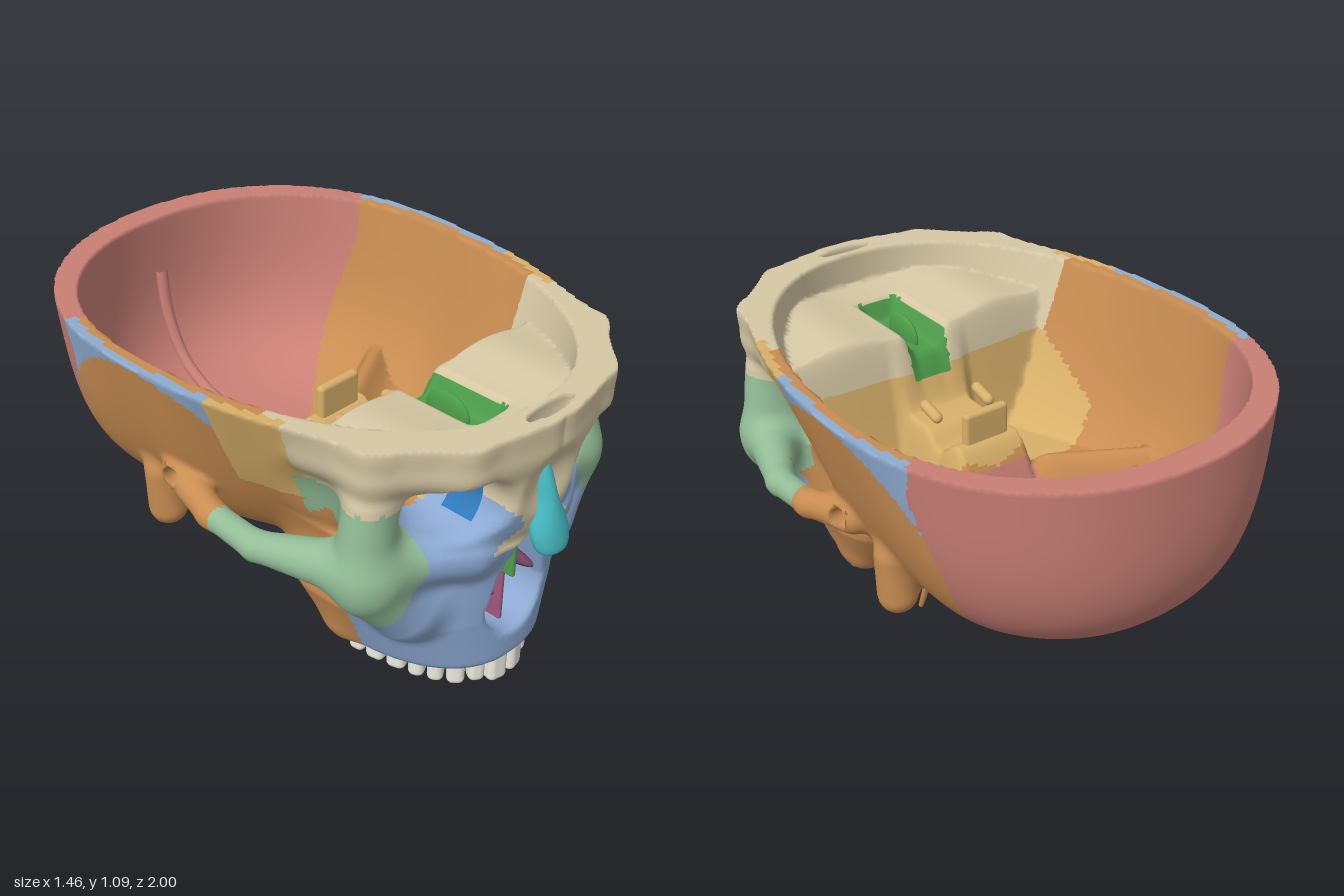
import * as THREE from 'three';
import { RoundedBoxGeometry } from 'three/addons/geometries/RoundedBoxGeometry.js';

const COLORS = {
  frontalBone: 0xd6c8a4, parietalBone: 0x8eacd0, temporalBone: 0xc98d52, sphenoidBone: 0xd8b06a,
  occipitalBone: 0xc97f75, zygomaticBone: 0x93bd97, maxilla: 0x8ca9d2, palatineBone: 0x4470ac,
  ethmoidBone: 0x4c9c4a, lacrimalBone: 0x2f78b8, nasalBone: 0x45b8c0, vomer: 0xa0587f,
  nasalConcha: 0x70405f, teeth: 0xeeeae0,
};
const RIM = 1.09;
const { clamp, lerp, smoothstep } = THREE.MathUtils;
const step = (a, b, v) => smoothstep(v, a, b);
const bell = (v, w) => Math.exp(-(v / w) * (v / w));
const smin = (a, b, k) => {
  const h = Math.max(k - Math.abs(a - b), 0) / k;
  return Math.min(a, b) - h * h * k * 0.25;
};
const smax = (a, b, k) => -smin(-a, -b, k);
const ellipsoid = (x, y, z, rx, ry, rz) =>
  (Math.sqrt((x / rx) ** 2 + (y / ry) ** 2 + (z / rz) ** 2) - 1) * Math.min(rx, ry, rz);

// Tapered rod from a to b; returns a distance function
function rod(ax, ay, az, ra, bx, by, bz, rb) {
  const dx = bx - ax, dy = by - ay, dz = bz - az, l2 = dx * dx + dy * dy + dz * dz;
  return (x, y, z) => {
    const px = x - ax, py = y - ay, pz = z - az;
    const h = clamp((px * dx + py * dy + pz * dz) / l2, 0, 1);
    return Math.sqrt((px - h * dx) ** 2 + (py - h * dy) ** 2 + (pz - h * dz) ** 2) - lerp(ra, rb, h);
  };
}

// Rods blended onto the skull: [distance function, blend width]
const ADDED = [
  [rod(0.49, 0.86, 0.65, 0.075, 0.495, 0.64, 0.64, 0.1), 0.08],  // cheek, beside the eye
  [rod(0.48, 0.56, 0.64, 0.11, 0.36, 0.4, 0.68, 0.09), 0.1],     // cheek body
  [rod(0.44, 0.62, 0.67, 0.06, 0.2, 0.6, 0.8, 0.05), 0.08],      // lower rim of the eye socket
  [rod(0.54, 0.61, 0.56, 0.08, 0.645, 0.61, 0.32, 0.048), 0.04], // cheek arch
  [rod(0.645, 0.61, 0.32, 0.048, 0.65, 0.63, 0.12, 0.045), 0.02],
  [rod(0.65, 0.63, 0.12, 0.045, 0.6, 0.67, -0.08, 0.065), 0.03],
  [rod(0.56, 0.58, -0.235, 0.06, 0.545, 0.43, -0.235, 0.068), 0.05], // mastoid
  [rod(0.29, 0.45, 0.4, 0.08, 0.31, 0.17, 0.39, 0.06), 0.06],    // pterygoid
];
// Brow band following the forehead, from the middle to the temple
const BROW = [[0.04, 0.885], [0.29, 0.835], [0.49, 0.66], [0.52, 0.46]];
for (const y of [0.985, 1.08]) for (let i = 0; i < 3; i++) {
  const [[x0, z0], [x1, z1]] = [BROW[i], BROW[i + 1]];
  ADDED.push([rod(x0, y, z0, 0.06, x1, y, z1, 0.06), 0.06]);
}
const orbitFront = rod(0.285, 0, 1.05, 0.133, 0.285, 0, 0.72, 0.133);
const orbitBack = rod(0.285, 0, 0.72, 0.133, 0.19, -0.07, 0.44, 0.035);
const earCanal = rod(0.625, 0.67, -0.07, 0.036, 0.8, 0.67, -0.07, 0.036);

// Egg-shaped braincase that narrows downwards, more so towards the face
function braincase(ax, y, z, rx, rBack, rFront, ry) {
  const taper = 1 - (0.18 + 0.17 * step(-0.65, -0.2, z) + 0.25 * step(-0.1, 0.3, z)) * (RIM - y);
  const a = ax / (rx * taper), b = z > -0.2 ? (z + 0.2) / rFront : (-0.2 - z) / rBack;
  const c = Math.max(0, (1.05 - y) / ry);
  return (Math.pow(Math.pow(a ** 2.2 + b ** 2.2, 3.5 / 2.2) + c ** 3.5, 1 / 3.5) - 1) * 0.65;
}

// Height of the inner floor: three fossae, petrous ridge, sella
function floorHeight(ax, z) {
  const dp = (ax - 0.12) * 0.49 + (z + 0.08) * 0.871;
  let f = lerp(0.4, 0.52, step(-0.06, 0.06, dp)) + 0.13 * bell(dp, 0.08) * step(0.08, 0.2, ax);
  const body = lerp(0.4, 0.7, step(-0.18, 0.02, z)) - 0.06 * bell(z - 0.12, 0.05);
  f = Math.max(f, lerp(0.4, body, 1 - step(0.12, 0.2, ax)));
  const slot = (1 - step(0.04, 0.1, ax)) * step(0.27, 0.31, z) * (1 - step(0.66, 0.71, z));
  const front = 0.965 + 0.03 * bell(ax - 0.3, 0.15) - 0.08 * slot;
  return lerp(f, front, step(0.28, 0.39, z - 0.04 * ax));
}
const cavity = (ax, y, z) =>
  Math.max(braincase(ax, y, z, 0.67, 0.705, 1.06, 0.64), floorHeight(ax, z) - y);

function maxillaBlock(ax, y, z) {
  const rx = Math.min(0.43, 0.34 + 0.42 * (y - 0.1));
  const rz = z > 0.35 ? 0.51 : clamp(0.06 + 0.95 * (y - 0.1), 0.06, 0.3);
  const d = (((ax / rx) ** 2.3 + (Math.abs(z - 0.35) / rz) ** 2.3) ** (1 / 2.3) - 1) * 0.35;
  return Math.max(smax(d, 0.1 - y, 0.04), y - 0.6);
}

// Signed field of the whole bone, negative inside
function skull(x, y, z) {
  const ax = Math.abs(x);
  let d = braincase(ax, y, z, 0.735, 0.8, 1.15, 0.72);
  d = smin(d, maxillaBlock(ax, y, z), 0.06);
  d = smax(d, -ellipsoid(ax - 0.6, y - 0.68, z - 0.47, 0.12, 0.22, 0.15), 0.05); // temporal hollow
  for (const [shape, k] of ADDED) d = smin(d, shape(ax, y, z), k);
  d = smax(d, -ellipsoid(ax, y - 0.84, z - 1.06, 0.15, 0.13, 0.15), 0.04);      // nasal root dent
  const oy = (y - 0.815) / 0.92;
  d = smax(d, -Math.min(orbitFront(ax, oy, z), orbitBack(ax, oy, z)), 0.03);    // eye socket
  const h = clamp((y - 0.35) / 0.22, 0, 1);
  const nose = Math.sqrt(ax * ax + (y - 0.35 - 0.22 * h) ** 2) - lerp(0.135, 0.075, h);
  d = smax(d, -Math.max(nose, 0.25 - z), 0.02);                                 // nasal passage
  d = smax(d, -ellipsoid(ax, y - 0.1, z - 0.4, 0.22, 0.09, 0.36), 0.02);        // palate vault
  d = Math.max(d, -cavity(ax, y, z), -earCanal(ax, y, z));
  d = Math.max(d, -ellipsoid(ax, y - 1.07, z - 0.905, 0.11, 0.08, 0.026));      // frontal sinus
  const hole = (Math.sqrt((ax / 0.115) ** 2 + ((z + 0.33) / 0.17) ** 2) - 1) * 0.12;
  d = Math.max(d, -Math.max(hole, y - 0.7));                                    // foramen magnum
  return Math.max(d, y - RIM);
}

// Which bone a point of the surface belongs to
function boneAt(x, y, z) {
  const ax = Math.abs(x), inner = cavity(ax, y, z) < 0.03;
  if (z > 0.28 && z < 0.7 && ax < 0.085 && y > 0.8) return 'ethmoidBone';
  if (!inner && z > 0.38 && z < 0.82 && y > 0.4 && y < 0.86 && ax > 0.37 + Math.max(0, 0.6 - y) * 0.65
    && (z > 0.48 || ax > 0.47)) return 'zygomaticBone';
  if (!inner && z > 0.16 && z < 0.5 && ax > 0.57 && y > 0.5 && y < 0.73) return 'zygomaticBone';
  if (y > 0.84 && z > (inner ? 0.34 : 0.43)) return 'frontalBone';
  if (z > 0.68 && z < 0.8 && ax > 0.08 && ax < 0.2 && y > 0.7 && y < 0.86) return 'lacrimalBone';
  if (z > 0.7 && y > 0.62 && ax < 0.1 + Math.max(0, Math.abs(y - 0.72) - 0.02)) return 'frontalBone';
  if (z > 0.5 + 0.25 * Math.max(0, y - 0.3) && (y < 0.74 || ax < 0.2)) return 'maxilla';
  if (z > 0.08 && y < 0.32 && ax < 0.27) return 'palatineBone';
  if (z < -0.11 - 0.6 * ax - 0.7 * Math.max(0, 0.95 - y) * ax || (ax < 0.15 && z < -0.05)) return 'occipitalBone';
  if (inner) return ax < 0.5 && z > -0.05 + 0.2 * ax ? 'sphenoidBone' : 'temporalBone';
  if (y > 0.75 && z > 0.17) return 'sphenoidBone';
  if (y > 0.85 && Math.hypot(z + 0.13, y - 0.6) > 0.48) return 'parietalBone';
  return ax > 0.22 ? 'temporalBone' : 'sphenoidBone';
}

// Turns the field into a quad surface, split into one mesh per bone
function buildBones(group) {
  const s = 0.017, N = [95, 66, 126];
  const O = [-s * 47, RIM - s * 62.5, -s * 62.5], S = [1, N[0], N[0] * N[1]];
  const V = new Float32Array(N[0] * N[1] * N[2]), cell = new Int32Array(V.length).fill(-1);
  const each = (lo, hi, fn) => {
    for (let k = lo; k < N[2] - hi; k++) for (let j = lo; j < N[1] - hi; j++)
      for (let i = lo; i < N[0] - hi; i++) fn(i + S[1] * j + S[2] * k, i, j, k);
  };
  each(0, 0, (n, i, j, k) => { V[n] = skull(O[0] + i * s, O[1] + j * s, O[2] + k * s); });

  // One vertex in each cell the surface crosses
  const pos = [];
  const corner = (n, c) => V[n + (c & 1) + S[1] * ((c >> 1) & 1) + S[2] * (c >> 2)];
  each(0, 1, (n, i, j, k) => {
    const p = [0, 0, 0];
    let hits = 0;
    for (let c = 0; c < 8; c++) for (let a = 0; a < 3; a++) {
      if (c & (1 << a)) continue;
      const v0 = corner(n, c), v1 = corner(n, c | (1 << a));
      if ((v0 < 0) === (v1 < 0)) continue;
      for (let b = 0; b < 3; b++) p[b] += a === b ? v0 / (v0 - v1) : (c >> b) & 1;
      hits++;
    }
    if (!hits) return;
    const q = [i, j, k].map((g, b) => O[b] + s * (g + p[b] / hits));
    if (q[1] > RIM - s * 0.5) q[1] = RIM; // keep the cut edge flat
    cell[n] = pos.length;
    pos.push(q);
  });

  // Quads around each crossed grid edge, sorted by bone
  const faces = {};
  each(1, 1, (n) => {
    for (let a = 0; a < 3; a++) {
      const inside = V[n] < 0;
      if (inside === (V[n + S[a]] < 0)) continue;
      const u = S[(a + 1) % 3], v = S[(a + 2) % 3];
      const q = [n, n - u, n - u - v, n - v].map((c) => cell[c]);
      if (!inside) q.reverse();
      const mid = [0, 1, 2].map((b) => q.reduce((t, e) => t + pos[e][b], 0) / 4);
      (faces[boneAt(...mid)] ??= []).push(q[0], q[1], q[2], q[0], q[2], q[3]);
    }
  });

  const e = 0.006;
  for (const [name, list] of Object.entries(faces)) {
    const map = new Map(), P = [], M = [];
    const index = list.map((id) => {
      if (!map.has(id)) {
        const [x, y, z] = pos[id];
        map.set(id, map.size);
        P.push(x, y, z);
        M.push(...new THREE.Vector3(skull(x + e, y, z) - skull(x - e, y, z),
          skull(x, y + e, z) - skull(x, y - e, z), skull(x, y, z + e) - skull(x, y, z - e)).normalize());
      }
      return map.get(id);
    });
    const g = new THREE.BufferGeometry();
    g.setAttribute('position', new THREE.Float32BufferAttribute(P, 3));
    g.setAttribute('normal', new THREE.Float32BufferAttribute(M, 3));
    g.setIndex(index);
    add(group, name, g, name);
  }
}

function add(group, name, geometry, color, x = 0, y = 0, z = 0) {
  const mesh = new THREE.Mesh(geometry, new THREE.MeshStandardMaterial({ color: COLORS[color] }));
  mesh.name = name;
  mesh.position.set(x, y, z);
  group.add(mesh);
  return mesh;
}
const ball = (rx, ry, rz) => new THREE.SphereGeometry(1, 24, 16).scale(rx, ry, rz);

export function createModel() {
  const group = new THREE.Group();
  group.name = 'skull';
  buildBones(group);

  // Nasal bone: a blunt drop that widens and juts forward at its lower end
  const nasal = new THREE.SphereGeometry(1, 32, 32), p = nasal.attributes.position;
  for (let i = 0; i < p.count; i++) {
    const y = p.getY(i), t = (y + 1) / 2, fat = Math.max(0.05, Math.sqrt(Math.max(0, 1 - y * y))) ** -0.75;
    p.setXYZ(i, p.getX(i) * fat * lerp(0.08, 0.038, step(0.15, 0.7, t)), 0.752 + 0.148 * y,
      0.962 - 0.09 * t + p.getZ(i) * fat * 0.052);
  }
  nasal.computeVertexNormals();
  add(group, 'nasalBone', nasal, 'nasalBone');

  // Nasal septum, sella back plate, inner crests
  add(group, 'vomer', new RoundedBoxGeometry(0.018, 0.22, 0.52, 2, 0.008), 'vomer', 0, 0.32, 0.53);
  add(group, 'septumPlate', new RoundedBoxGeometry(0.018, 0.22, 0.5, 2, 0.008), 'ethmoidBone', 0, 0.52, 0.58);
  add(group, 'ethmoidCrest', ball(0.02, 0.07, 0.09), 'ethmoidBone', 0, 0.9, 0.52);
  add(group, 'sellaBackPlate', new RoundedBoxGeometry(0.18, 0.14, 0.035, 3, 0.015), 'sphenoidBone', 0, 0.74, 0.03);
  const crest = new THREE.CatmullRomCurve3([[0.42, -0.52], [0.48, -0.7], [0.56, -0.8], [0.71, -0.87], [0.88, -0.895]]
    .map(([y, z]) => new THREE.Vector3(0, y, z)));
  add(group, 'occipitalCrest', new THREE.TubeGeometry(crest, 32, 0.022, 12), 'occipitalBone');

  // Tooth widths and lower edges, from the middle to the back
  const widths = [0.08, 0.062, 0.066, 0.06, 0.06, 0.074, 0.074, 0.064];
  const bottoms = [0, 0.02, 0.012, 0.03, 0.035, 0.045, 0.05, 0.055];
  for (const side of [1, -1]) {
    const label = side > 0 ? 'left' : 'right';
    add(group, label + 'LowerConcha', ball(0.034, 0.036, 0.25), 'nasalConcha', side * 0.1, 0.4, 0.58);
    add(group, label + 'MiddleConcha', ball(0.028, 0.034, 0.25), 'ethmoidBone', side * 0.075, 0.56, 0.6);
    add(group, label + 'Condyle', ball(0.05, 0.04, 0.09), 'occipitalBone', side * 0.12, 0.32, -0.25);
    add(group, label + 'Clinoid', new THREE.CapsuleGeometry(0.02, 0.07, 6, 12).rotateX(1.3), 'sphenoidBone',
      side * 0.11, 0.76, 0.19);
    const styloid = add(group, label + 'Styloid', new THREE.CylinderGeometry(0.018, 0.009, 0.27, 12),
      'temporalBone', side * 0.35, 0.32, -0.12);
    styloid.rotation.x = -0.36;

    let t = 0;
    widths.forEach((w, i) => {
      const advance = () => { t += w / 2 / Math.hypot(0.29 * Math.cos(t), 0.47 * Math.sin(t)); };
      advance();
      const height = 0.14 - bottoms[i], depth = i < 3 ? 0.06 : 0.085;
      const tooth = add(group, `${label}Tooth${i + 1}`, new RoundedBoxGeometry(w * 0.92, height, depth, 3, 0.022),
        'teeth', side * 0.29 * Math.sin(t), bottoms[i] + height / 2, 0.345 + 0.47 * Math.cos(t));
      tooth.rotation.y = side * Math.atan2(0.47 * Math.sin(t), 0.29 * Math.cos(t));
      advance();
    });
  }
  return group;
}
